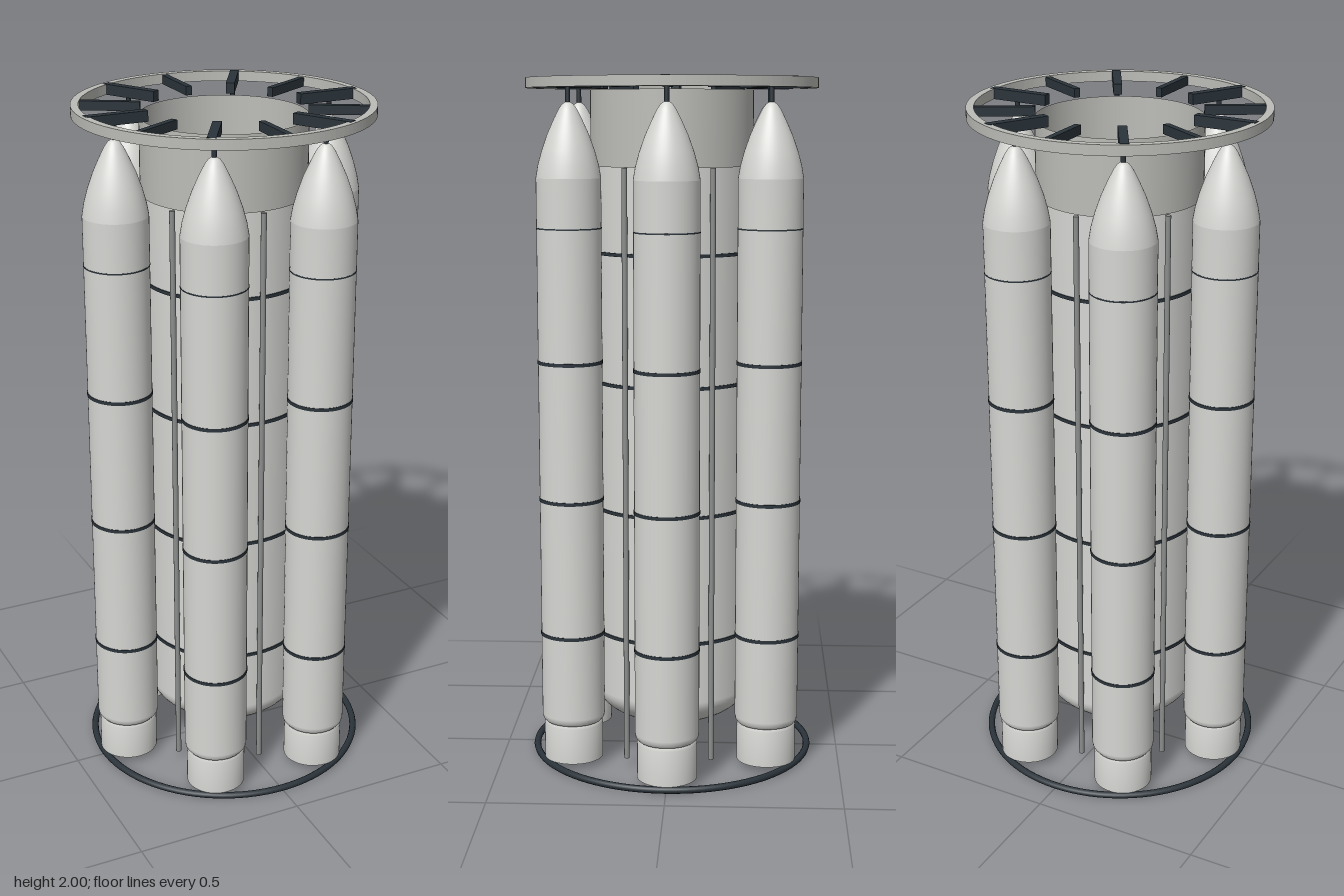
import * as THREE from 'three';

const mat = (name, color, side = THREE.FrontSide) => {
  const m = new THREE.MeshStandardMaterial({ color, side });
  m.name = name;
  return m;
};

export function createModel() {
  const hull = mat('hull white', 0xd6d6d3);
  const shell = mat('shell white', 0xd6d6d3, THREE.DoubleSide);
  const metal = mat('ring grey', 0xbcbcb8, THREE.DoubleSide);
  const pipe = mat('pipe grey', 0x8c8e8e);
  const dark = mat('dark steel', 0x2b343b);
  const copper = mat('copper', 0xa8622f);

  const model = new THREE.Group();
  model.name = 'clusterRocket';

  const add = (parent, name, geo, material, x = 0, y = 0, z = 0) => {
    const mesh = new THREE.Mesh(geo, material);
    mesh.name = name;
    mesh.position.set(x, y, z);
    parent.add(mesh);
    return mesh;
  };
  const lathe = (pts, seg = 48) =>
    new THREE.LatheGeometry(pts.map(([r, y]) => new THREE.Vector2(r, y)), seg);
  const rod = (r, y0, y1, seg = 12) =>
    new THREE.CylinderGeometry(r, r, y1 - y0, seg).translate(0, (y0 + y1) / 2, 0);
  // Square-section ring
  const hoop = (ri, ro, y0, y1, seg = 72) => {
    const s = new THREE.Shape().absarc(0, 0, ro, 0, Math.PI * 2);
    s.holes.push(new THREE.Path().absarc(0, 0, ri, 0, Math.PI * 2, true));
    return new THREE.ExtrudeGeometry(s, { depth: y1 - y0, bevelEnabled: false, curveSegments: seg })
      .rotateX(-Math.PI / 2).translate(0, y0, 0);
  };
  // Helical coil
  const coil = (r, y0, y1, turns) => {
    const pts = [];
    for (let i = 0; i <= turns * 12; i++) {
      const a = (i / 12) * Math.PI * 2;
      pts.push(new THREE.Vector3(r * Math.cos(a), y0 + (y1 - y0) * i / (turns * 12), r * Math.sin(a)));
    }
    return new THREE.TubeGeometry(new THREE.CatmullRomCurve3(pts), turns * 20, 0.004, 6);
  };

  // Core tank with elliptical domes
  const core = new THREE.Group();
  core.name = 'core';
  model.add(core);
  const R = 0.23, H = 0.11, y0 = 0.2, y1 = 1.75;
  add(core, 'coreTank', new THREE.CylinderGeometry(R, R, y1 - y0, 64, 1, true), hull, 0, (y0 + y1) / 2, 0);
  const dome = new THREE.SphereGeometry(R, 64, 16, 0, Math.PI * 2, 0, Math.PI / 2).scale(1, H / R, 1);
  add(core, 'upperDome', dome, hull, 0, y1, 0);
  add(core, 'lowerDome', dome, hull, 0, y0, 0).rotation.x = Math.PI;
  [0.38, 0.755, 1.13, 1.505].forEach((y) =>
    add(core, 'coreBand', rod(R + 0.003, y - 0.005, y + 0.005, 64), dark));

  // Open interstage, centre pipe and coils below the tank
  add(core, 'interstage', lathe([[0.235, 1.75], [0.235, 1.965]], 64), metal);
  add(core, 'centrePipe', rod(0.028, 0.03, 0.12, 24), hull);
  for (const s of [-1, 1]) add(core, 'coreCoil', coil(0.028, 0.03, 0.115, 5), copper, s * 0.085);

  // Carrying rings at top and bottom
  add(model, 'topRing', hoop(0.398, 0.42, 1.97, 1.999), metal);
  add(model, 'baseRing', new THREE.TorusGeometry(0.41, 0.01, 10, 96).rotateX(Math.PI / 2), dark, 0, 0.01, 0);

  // Shared booster geometry
  const body = lathe([[0, 0.13], [0.072, 0.13], [0.083, 0.134], [0.09, 0.143], [0.092, 0.155], [0.092, 1.72]]);
  const nose = lathe([[0.092, 1.72], [0.086, 1.755], [0.075, 1.795], [0.059, 1.84],
    [0.041, 1.88], [0.026, 1.91], [0.016, 1.924], [0.007, 1.93], [0, 1.931]]);
  const skirt = lathe([[0.086, 0.02], [0.086, 0.125], [0.07, 0.13]]);
  const boosterCoil = coil(0.022, 0.035, 0.125, 5);

  for (let i = 0; i < 6; i++) {
    // Booster with its wide radial strut
    const b = new THREE.Group();
    b.name = 'booster';
    b.rotation.y = i * Math.PI / 3;
    model.add(b);
    const c = 0.328;
    add(b, 'boosterBody', body, hull, c);
    add(b, 'boosterNose', nose, hull, c);
    add(b, 'engineSkirt', skirt, shell, c);
    add(b, 'engineCoil', boosterCoil, copper, c);
    [0.4, 0.8, 1.2].forEach((y) => add(b, 'boosterBand', rod(0.0935, y - 0.005, y + 0.005, 48), dark, c));
    add(b, 'noseJoint', rod(0.0927, 1.578, 1.582, 48), dark, c);
    add(b, 'nosePin', rod(0.007, 1.92, 1.975), dark, c);
    add(b, 'wideStrut', new THREE.BoxGeometry(0.178, 0.03, 0.025), dark, 0.32, 1.985, 0);

    // Feed pipe and narrow strut between boosters
    const g = new THREE.Group();
    g.name = 'pipeBay';
    g.rotation.y = (i + 0.5) * Math.PI / 3;
    model.add(g);
    add(g, 'feedPipe', rod(0.008, 0.03, 1.75), pipe, 0.247);
    add(g, 'narrowStrut', new THREE.BoxGeometry(0.17, 0.026, 0.018), dark, 0.316, 1.983, 0);
  }
  return model;
}
